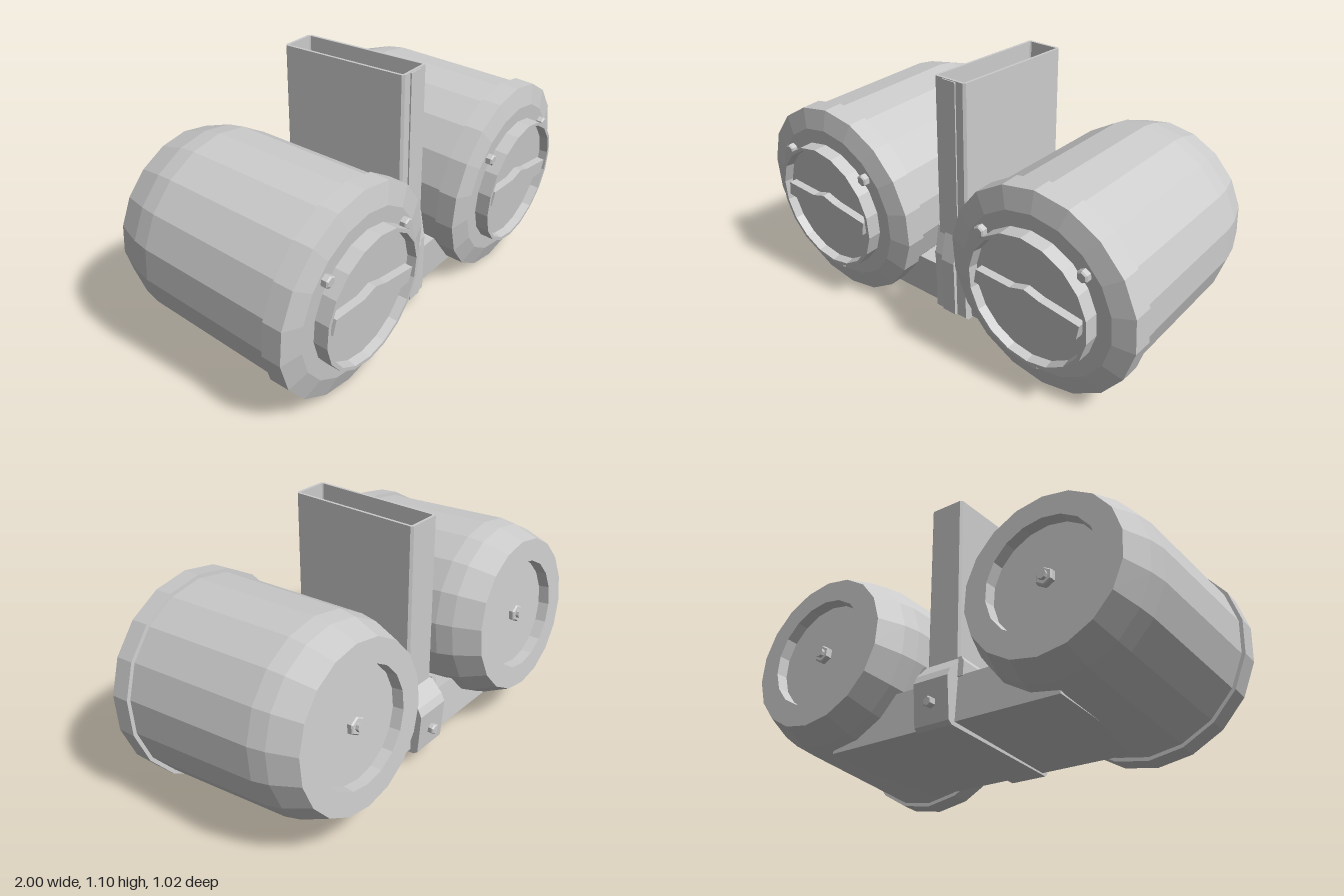
import * as THREE from 'three';

const grey = new THREE.MeshStandardMaterial({ color: 0xcccccc, flatShading: true });

function add(parent, name, geometry, x = 0, y = 0, z = 0) {
  const mesh = new THREE.Mesh(geometry, grey);
  mesh.name = name;
  mesh.position.set(x, y, z);
  parent.add(mesh);
  return mesh;
}

const shapeOf = pts => new THREE.Shape(pts.map(([a, b]) => new THREE.Vector2(a, b)));
const extrude = (shape, depth) => new THREE.ExtrudeGeometry(shape, { depth, bevelEnabled: false });

// Turned part whose axis runs along z; profile points are [radius, z], back to front
function turned(points, sides) {
  return new THREE.LatheGeometry(points.map(([r, z]) => new THREE.Vector2(r, z)), sides).rotateX(Math.PI / 2);
}

// Side profile of [z, y] points, extruded symmetrically across x
function sideExtrude(pts, width) {
  return extrude(shapeOf(pts), width).rotateY(-Math.PI / 2).translate(width / 2, 0, 0);
}

// Rectangle in x and z with chamfered corners
function chamferedRect(hx, hz, c) {
  return [[-hx + c, -hz], [hx - c, -hz], [hx, -hz + c], [hx, hz - c],
    [hx - c, hz], [-hx + c, hz], [-hx, hz - c], [-hx, -hz + c]];
}

const hexBolt = (r, z0, z1) => turned([[0, z0], [r, z0], [r, z1 - 0.006], [r - 0.006, z1], [0, z1]], 6);

function createDrum() {
  const drum = new THREE.Group();
  drum.name = 'drum';

  // Tapered shell with rear recess, front flange and raised cap ring
  add(drum, 'drumShell', turned([
    [0, -0.475], [0.24, -0.475], [0.245, -0.523], [0.344, -0.523], [0.39, -0.407],
    [0.405, -0.333], [0.424, 0.273], [0.44, 0.273], [0.44, 0.357], [0.352, 0.382],
    [0.287, 0.382], [0.287, 0.443], [0.272, 0.443], [0.266, 0.405], [0, 0.405],
  ], 18));

  // Grip bar across the cap, the same after half a turn
  const half = [[0.25, 0.012], [0.07, 0.04], [0, 0.062], [-0.07, 0.042], [-0.235, 0.052]];
  const grip = [...half, ...half.map(([x, y]) => [-x, -y])];
  add(drum, 'capGrip', extrude(shapeOf(grip), 0.037), 0, 0, 0.403);

  // Three bolts around the cap
  for (const deg of [40, 140, 270]) {
    const a = THREE.MathUtils.degToRad(deg);
    add(drum, 'capBolt', hexBolt(0.026, 0.365, 0.41), 0.312 * Math.cos(a), 0.312 * Math.sin(a), 0);
  }

  // Nut and stud in the rear recess
  add(drum, 'rearNut', hexBolt(0.04, -0.5, -0.47).rotateY(Math.PI).translate(0, 0, -0.97));
  add(drum, 'rearStud', turned([[0, -0.515], [0.02, -0.515], [0.02, -0.49]], 8));
  return drum;
}

export function createModel() {
  const model = new THREE.Group();
  model.name = 'twinDrumUnit';

  // Drums and base share a slight nose-down tilt
  const tilted = new THREE.Group();
  tilted.name = 'tiltedBody';
  tilted.rotation.x = THREE.MathUtils.degToRad(5);
  model.add(tilted);

  for (const side of [-1, 1]) {
    const drum = createDrum();
    drum.position.set(side * 0.567, 0.472, 0);
    tilted.add(drum);
  }

  // Base block joining the drums
  add(tilted, 'baseBlock', new THREE.BoxGeometry(1.12, 0.195, 0.6), 0, 0.158, -0.06);

  // Side rails with a chamfered outer top edge
  for (const s of [-1, 1]) {
    const pts = [[0.08, 0.25], [0.112, 0.25], [0.112, 0.315], [0.098, 0.337], [0.08, 0.337]];
    const shape = shapeOf(pts.map(([x, y]) => [s * x, y]));
    add(tilted, 'sideRail', extrude(shape, 0.6), 0, 0, -0.365);
  }

  // Upright rectangular sleeve, open at the top
  const sleeve = shapeOf(chamferedRect(0.082, 0.297, 0.01));
  sleeve.holes.push(new THREE.Path(chamferedRect(0.07, 0.285, 0.005).map(([x, z]) => new THREE.Vector2(x, z))));
  add(model, 'sleeve', extrude(sleeve, 0.955).rotateX(-Math.PI / 2), 0, 0.15, -0.03);
  add(model, 'sleeveRib', new THREE.BoxGeometry(0.07, 0.9, 0.012), 0, 0.652, 0.267);

  // Strap that wraps the base and grips the sleeve front and back
  add(model, 'strap', sideExtrude([
    [0.262, 0.435], [0.284, 0.31], [0.282, 0.045], [0.265, 0.03], [-0.37, 0.075], [-0.388, 0.09],
    [-0.402, 0.27], [-0.385, 0.305], [-0.328, 0.365], [-0.31, 0.365], [-0.31, 0.262],
    [0.25, 0.262], [0.25, 0.435],
  ].reverse(), 0.17));
  add(model, 'strapRib', sideExtrude([
    [0.27, 0.435], [0.27, 0.04], [0.296, 0.05], [0.3, 0.3],
  ], 0.07));

  // Bolt on the rear of the strap
  add(model, 'strapBolt', hexBolt(0.024, 0, 0.035).rotateY(Math.PI), 0, 0.175, -0.385);
  return model;
}
